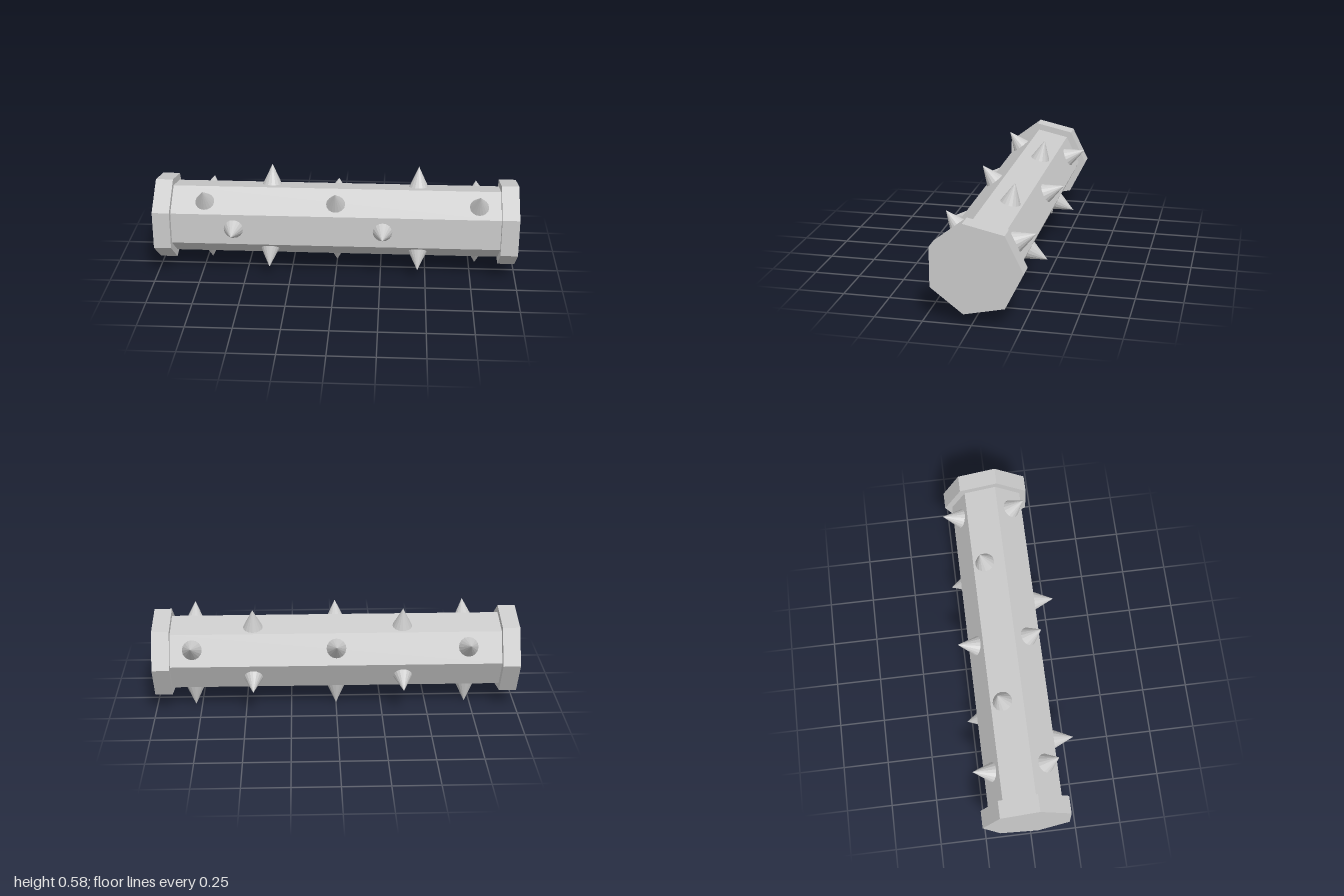
import * as THREE from 'three';

const CY = 0.294, CZ = -0.0145; // axis of the bar
const FLATTEN = 0.974;          // slight squash in height
const material = new THREE.MeshStandardMaterial({ color: 0xcccccc, flatShading: true });

// Seven-sided prism lying along x, with one corner pointing to the back
function prism(name, radius, length, x) {
  const geometry = new THREE.CylinderGeometry(radius, radius, length, 7, 1, false, Math.PI);
  geometry.rotateZ(Math.PI / 2).scale(1, FLATTEN, 1);
  const mesh = new THREE.Mesh(geometry, material);
  mesh.name = name;
  mesh.position.set(x, CY, CZ);
  return mesh;
}

export function createModel() {
  const group = new THREE.Group();
  group.name = 'spikedRoller';

  // Main bar and the wider cap at each end
  group.add(prism('bar', 0.2075, 1.82, 0));
  group.add(prism('leftEndCap', 0.2485, 0.095, 0.9525));
  group.add(prism('rightEndCap', 0.2485, 0.095, -0.9525));

  // One row of spikes per face: face number from the front, tip z, tip y, x positions
  const three = [-0.722, 0, 0.785];
  const two = [-0.365, 0.455];
  const rows = [
    [0, 0.285, 0.297, [-0.56, 0.26]],
    [1, 0.178, 0.517, three],
    [2, -0.105, 0.577, two],
    [3, -0.283, 0.427, three],
    [-3, -0.279, 0.164, two],
    [-2, -0.088, 0.002, three],
    [-1, 0.177, 0.073, two],
  ];
  const height = 0.118;
  const spike = new THREE.ConeGeometry(0.056, height, 16);
  spike.translate(0, -height / 2, 0); // tip at the origin
  for (const [face, z, y, xs] of rows) {
    const row = new THREE.Group();
    row.name = 'spikeRow';
    for (const x of xs) {
      const mesh = new THREE.Mesh(spike, material);
      mesh.name = 'spike';
      mesh.position.set(x, y, z);
      // Point straight out from the face
      mesh.rotation.x = Math.PI / 2 - (face * 2 * Math.PI) / 7;
      row.add(mesh);
    }
    group.add(row);
  }
  return group;
}
